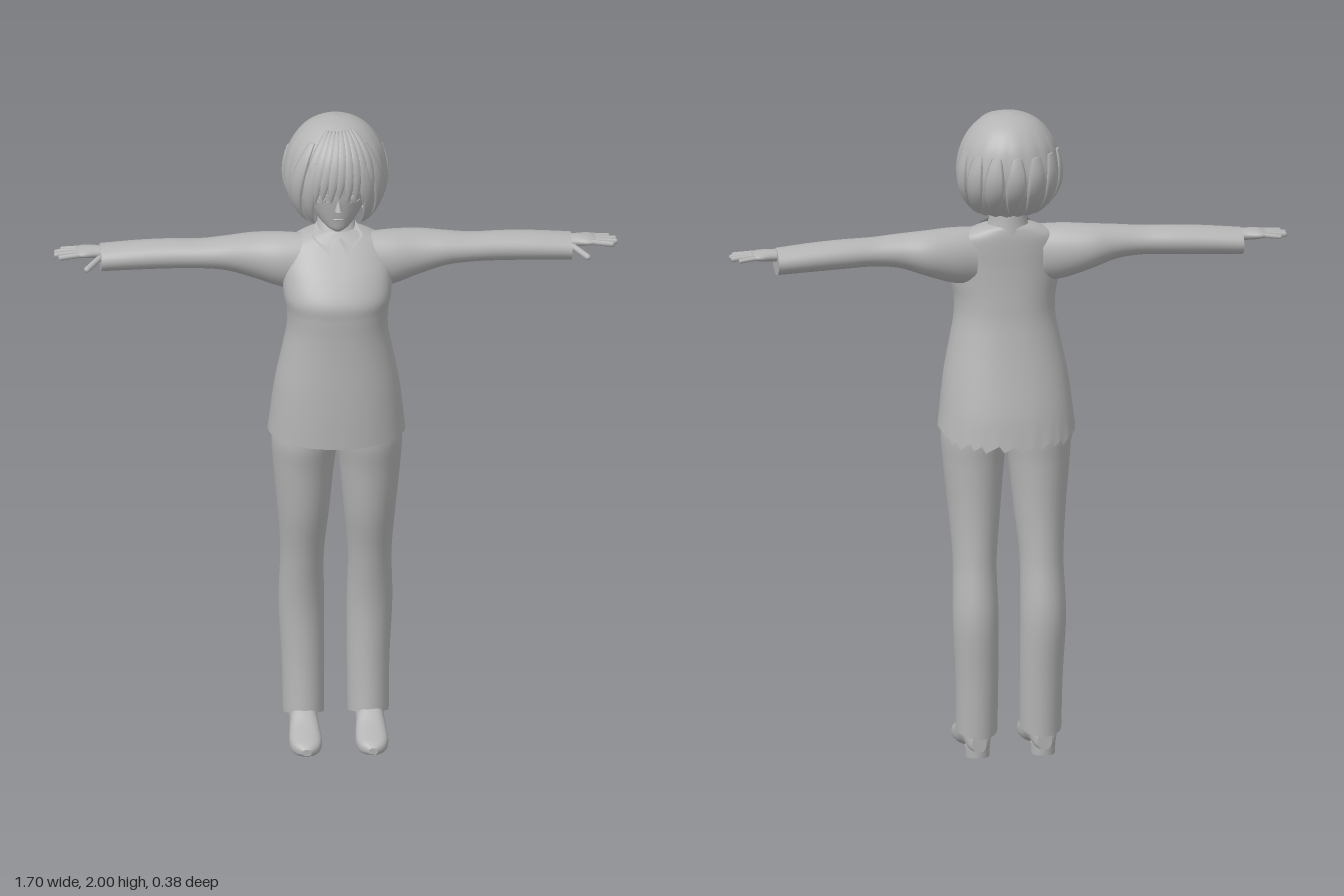
import * as THREE from 'three';

const grey = new THREE.MeshStandardMaterial({ color: 0xb4b4b4, side: THREE.DoubleSide });
grey.name = 'plain grey';

const { sin, cos, abs, sign, PI, min, max, floor } = Math;
const smooth = THREE.MathUtils.smoothstep;

function mesh(name, geometry, parent) {
  const m = new THREE.Mesh(geometry, grey);
  m.name = name;
  parent.add(m);
  return m;
}

// Smoothly interpolated row of a section table, t from 0 to 1
function sample(rows, t) {
  const f = min(max(t, 0), 1) * (rows.length - 1);
  const i = min(floor(f), rows.length - 2), u = f - i;
  const at = k => rows[min(max(k, 0), rows.length - 1)];
  return rows[i].map((p1, k) => {
    const p0 = at(i - 1)[k], p2 = at(i + 1)[k], p3 = at(i + 2)[k];
    return p1 + 0.5 * u * (p2 - p0 + u * (2 * p0 - 5 * p1 + 4 * p2 - p3 + u * (3 * (p1 - p2) + p3 - p0)));
  });
}

// Surface over a grid of place(t, angle), with optional end caps
function skin(place, rings, segs, caps = true) {
  const pos = [], idx = [];
  for (let j = 0; j <= rings; j++)
    for (let i = 0; i < segs; i++) pos.push(...place(j / rings, (i / segs) * PI * 2));
  for (let j = 0; j < rings; j++)
    for (let i = 0; i < segs; i++) {
      const a = j * segs + i, b = j * segs + (i + 1) % segs;
      idx.push(a, a + segs, b, b, a + segs, b + segs);
    }
  if (caps) for (const j of [0, rings]) {
    const c = pos.length / 3, mid = [0, 0, 0], base = pos.length;
    for (let i = 0; i < segs; i++) {
      const o = (j * segs + i) * 3;
      for (let k = 0; k < 3; k++) { mid[k] += pos[o + k] / segs; pos.push(pos[o + k]); }
    }
    const first = base / 3;
    pos.push(...mid);
    for (let i = 0; i < segs; i++) {
      const p = c + i, q = first + (i + 1) % segs;
      if (j) idx.push(p, c + segs, q); else idx.push(p, q, c + segs);
    }
  }
  const g = new THREE.BufferGeometry();
  g.setAttribute('position', new THREE.Float32BufferAttribute(pos, 3));
  g.setIndex(idx);
  g.computeVertexNormals();
  return g;
}

const pw = (v, e) => sign(v) * abs(v) ** e;
const span = (lo, hi, k) => (lo + hi) / 2 + (hi - lo) / 2 * k;

// Upright form, rows of [y, half width, back z, front z]
const upright = (rows, e = 1, bend = p => p) => (t, a) => {
  const [y, w, zb, zf] = sample(rows, t);
  return bend([w * pw(cos(a), e), y, span(zb, zf, pw(sin(a), e))], a);
};
// Sideways form, rows of [x, low y, high y, back z, front z]
const sideways = rows => (t, a) => {
  const [x, yb, yt, zb, zf] = sample(rows, t);
  return [x, span(yb, yt, sin(a)), span(zb, zf, cos(a))];
};

// Hair surface, v from crown to tips
const hairRows = [[2, .001, -.031, -.029], [1.99, .055, -.085, .035], [1.965, .1, -.13, .08],
  [1.92, .135, -.165, .118], [1.87, .152, -.18, .136], [1.82, .157, -.183, .14],
  [1.77, .15, -.168, .132], [1.725, .13, -.135, .115], [1.685, .1, -.09, .09]];
function hairPoint(a, v, lift) {
  const [y, w, zb, zf] = sample(hairRows, v);
  return [(w + lift) * cos(a), y, span(zb - lift, zf + lift, sin(a))];
}

// Tapered lock lying on the hair surface
function lock(a0, a1, v0, v1, width) {
  return skin((t, s) => {
    const a = a0 + (a1 - a0) * t, taper = sin(PI * (0.12 + 0.88 * t)) ** 0.7;
    return hairPoint(a + width * taper * cos(s), v0 + (v1 - v0) * t, 0.009 * taper * sin(s));
  }, 14, 8);
}

function finger(parent, name, from, to, r) {
  const a = new THREE.Vector3(...from), b = new THREE.Vector3(...to), d = b.clone().sub(a);
  const m = mesh(name, new THREE.CapsuleGeometry(r, d.length() - r, 4, 10), parent);
  m.position.copy(a).add(b).multiplyScalar(0.5);
  m.quaternion.setFromUnitVectors(new THREE.Vector3(0, 1, 0), d.normalize());
}

// One side of the body; mirrored for the other
function buildSide() {
  const side = new THREE.Group();
  const leg = [[.085, .035, .16, -.095, .055], [.25, .034, .163, -.105, .042], [.43, .034, .172, -.115, .042],
    [.6, .036, .168, -.094, .07], [.75, .022, .178, -.085, .108], [.9, .008, .192, -.088, .133],
    [1, -.005, .196, -.095, .15], [1.1, -.01, .175, -.08, .14]];
  mesh('trouserLeg', skin((t, a) => {
    const [y, xi, xo, zb, zf] = sample(leg, t), z = span(zb, zf, sin(a));
    return [span(xi, xo, cos(a)), y + z * 0.25 * max(0, 1 - t * 8), z];
  }, 48, 32), side);

  const shoe = [[-.088, .022, .02, .07], [-.07, .038, .018, .11], [-.02, .042, .02, .125], [.04, .043, .01, .115],
    [.085, .048, 0, .083], [.13, .049, 0, .062], [.165, .038, .004, .048], [.185, .014, .012, .032]];
  mesh('shoe', skin((t, a) => {
    const [z, w, yb, yt] = sample(shoe, t);
    return [.1 + w * pw(sin(a), .75), span(yb, yt, pw(cos(a), .8)), z];
  }, 28, 24), side);
  const heel = mesh('shoeHeel', new THREE.CylinderGeometry(.038, .036, .035, 24), side);
  heel.position.set(.1, .0175, -.05);

  mesh('sleeve', skin(sideways([[.1, 1.46, 1.634, -.06, .08], [.17, 1.468, 1.636, -.074, .078],
    [.25, 1.495, 1.632, -.08, .066], [.33, 1.522, 1.625, -.066, .06], [.41, 1.531, 1.618, -.06, .054],
    [.5, 1.53, 1.617, -.068, .047], [.6, 1.527, 1.612, -.075, .043], [.71, 1.523, 1.602, -.08, .038]]), 42, 32), side);

  mesh('palm', skin(sideways([[.67, 1.562, 1.598, -.045, .01], [.72, 1.564, 1.6, -.048, .012],
    [.76, 1.568, 1.598, -.06, .022], [.782, 1.574, 1.592, -.056, .018]]), 14, 20), side);
  const tips = [[.835, .018], [.847, -.006], [.845, -.031], [.826, -.057]];
  tips.forEach(([x, z], i) =>
    finger(side, 'finger', [.76, 1.584, .009 - i * .019], [x, 1.578, z], .0085 - (i === 3) * .0015));
  finger(side, 'thumb', [.705, 1.575, .0], [.758, 1.555, .066], .0095);

  // Collar flap
  const flap = new THREE.BufferGeometry();
  flap.setAttribute('position', new THREE.Float32BufferAttribute(
    [.058, 1.667, -.01, .004, 1.632, .064, .028, 1.597, .1, .078, 1.637, .045], 3));
  flap.setIndex([0, 1, 2, 0, 2, 3]);
  flap.computeVertexNormals();
  mesh('collarFlap', flap, side);

  // Eye and brow, laid over the curve of the face
  const faceZ = x => .004 + .109 * Math.sqrt(1 - (x / .102) ** 2);
  const stroke = (name, pts, r) => mesh(name, new THREE.TubeGeometry(new THREE.CatmullRomCurve3(
    pts.map(([x, y]) => new THREE.Vector3(x, y, faceZ(x)))), 12, r, 6), side);
  stroke('upperLash', [[.022, 1.781], [.035, 1.793], [.055, 1.795], [.074, 1.783]], .003);
  stroke('lowerLash', [[.03, 1.771], [.048, 1.766], [.066, 1.772]], .0015);
  stroke('eyebrow', [[.018, 1.816], [.045, 1.825], [.072, 1.817]], .002);
  const iris = mesh('iris', new THREE.SphereGeometry(1, 16, 10), side);
  iris.scale.set(.012, .014, .003);
  iris.position.set(.048, 1.78, faceZ(.048));
  iris.rotation.y = .45;

  // Long locks framing the face
  mesh('sideLock', lock(1.15, .82, .25, .99, .16), side);
  mesh('sideLock', lock(.85, .45, .3, 1, .17), side);
  return side;
}

export function createModel() {
  const model = new THREE.Group();
  model.name = 'standingFigure';

  // Tunic with a ragged hem at the back
  const tunic = [[1, .207, -.15, .183], [1.09, .198, -.133, .184], [1.18, .186, -.113, .183], [1.27, .168, -.094, .181],
    [1.35, .153, -.08, .181], [1.41, .153, -.075, .183], [1.46, .162, -.072, .181], [1.52, .165, -.07, .146],
    [1.57, .163, -.07, .108], [1.61, .148, -.069, .077], [1.637, .1, -.065, .055], [1.65, .052, -.06, .045]];
  mesh('tunic', skin(upright(tunic, .88, ([x, y, z], a) => {
    const near = max(0, (1.06 - y) / .06), back = smooth(-sin(a), .1, .6);
    const tooth = (a * 4.3) % 1;
    return [x, y + near * (.012 * cos(a) ** 2 - back * (.01 + .028 * tooth)), z];
  }), 66, 96, false), model);

  mesh('neck', skin(upright([[1.58, .05, -.06, .04], [1.65, .042, -.052, .036], [1.73, .044, -.056, .036]]), 8, 24), model);
  mesh('collarBand', skin(upright([[1.625, .07, -.068, .055], [1.655, .06, -.064, .05], [1.683, .054, -.061, .03]], 1,
    ([x, y, z]) => [x, y - max(0, z) * .6, z]), 8, 32, false), model);

  // Head and face
  mesh('head', skin(upright([[1.667, .012, .05, .084], [1.678, .034, .01, .093], [1.7, .057, -.04, .098],
    [1.735, .081, -.08, .105], [1.78, .101, -.105, .112], [1.83, .11, -.12, .113], [1.88, .108, -.125, .108],
    [1.935, .08, -.1, .07], [1.96, .02, -.04, 0]]), 48, 40), model);
  const nose = mesh('nose', new THREE.ConeGeometry(.012, .042, 12), model);
  nose.scale.z = 1.5;
  nose.position.set(0, 1.764, .109);
  nose.rotation.x = -.12;
  const mouth = mesh('mouth', new THREE.SphereGeometry(1, 16, 8), model);
  mouth.scale.set(.017, .003, .004);
  mouth.position.set(0, 1.712, .1);

  // Bobbed hair: shell with an opening for the face, then fringe and back locks
  const edge = a => {
    const open = smooth(sin(a), .74, .85);
    return 1 - .34 * open - .035 * abs(sin(a * 9)) * (1 - open);
  };
  mesh('hairShell', skin((t, a) =>
    hairPoint(a, (1 - t) * edge(a), -.003 + .004 * abs(sin(a * 9)) * smooth(1 - t, .2, .7)), 40, 120, false), model);
  for (let i = -4; i <= 4; i++)
    mesh('fringeLock', lock(PI / 2 + i * .13 - .12, PI / 2 + i * .17, .18, .7 + (i % 2 ? .03 : 0) + abs(i) * .012, .12), model);
  for (let i = -3; i <= 3; i++)
    mesh('backLock', lock(-PI / 2 + i * .42, -PI / 2 + i * .45 + .05, .45, .99, .2), model);

  // Mirrored limbs and features
  const left = buildSide();
  left.name = 'leftSide';
  const right = buildSide();
  right.name = 'rightSide';
  right.scale.x = -1;
  model.add(left, right);
  return model;
}
